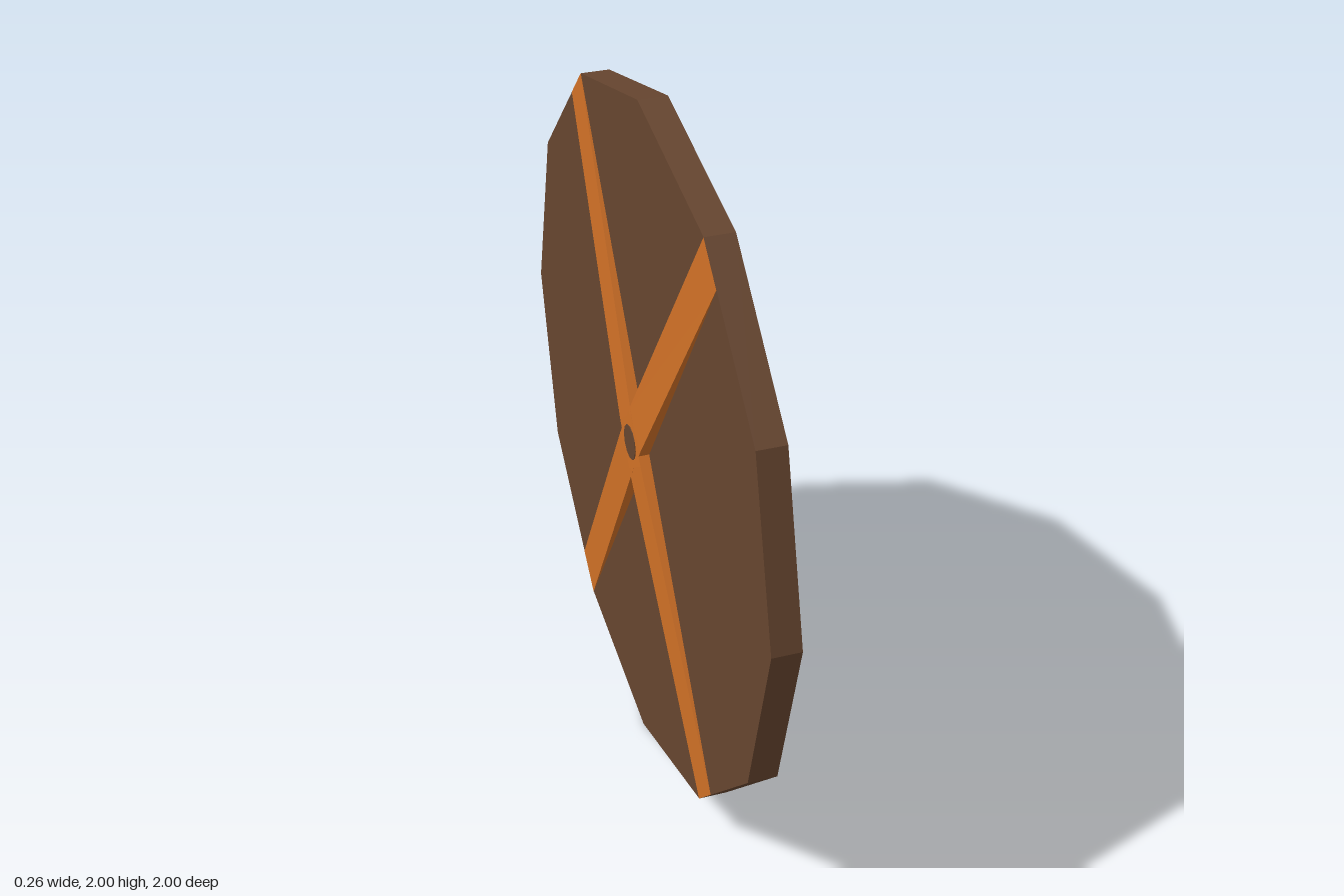
import * as THREE from 'three';

const brown = new THREE.MeshStandardMaterial({ name: 'darkWood', color: 0x66452f, flatShading: true });
const orange = new THREE.MeshStandardMaterial({ name: 'tanLeather', color: 0xcf7026, flatShading: true });

const BACK = -0.1;      // x of the flat back face
const RIDGE = 0.03;     // strap height at the centre
const HUB = 0.07;       // half length of the flat middle of a strap

// Wedge strap crossing the back: flat in the middle, tapering to nothing at the rim.
function strapGeometry() {
  // One end, in (z, y): a rim corner and a quarter of the way along the next rim edge
  const a = new THREE.Vector2(0.5, 0.866), b = new THREE.Vector2(0.592, 0.774);
  const dir = a.clone().add(b).normalize();
  const side = new THREE.Vector2(-dir.y, dir.x).multiplyScalar(0.0625);
  const at = (r, s) => dir.clone().multiplyScalar(r).addScaledVector(side, s);

  // Stations along the strap: [left, right, height]
  const stations = [
    [b.clone().negate(), a.clone().negate(), 0.0005],
    [at(-HUB, 1), at(-HUB, -1), RIDGE],
    [at(HUB, 1), at(HUB, -1), RIDGE],
    [a, b, 0.0005],
  ];
  const pos = [];
  const quad = (p, q, r, s) => [p, q, r, p, r, s].forEach((v) => pos.push(...v));
  const rings = stations.map(([l, r, h]) => [
    [BACK, l.y, l.x], [BACK - h, l.y, l.x], [BACK - h, r.y, r.x], [BACK, r.y, r.x],
  ]);
  for (let i = 0; i < 3; i++) {
    for (let k = 0; k < 3; k++) {
      quad(rings[i][k], rings[i][k + 1], rings[i + 1][k + 1], rings[i + 1][k]);
    }
  }
  const g = new THREE.BufferGeometry();
  g.setAttribute('position', new THREE.Float32BufferAttribute(pos, 3));
  g.computeVertexNormals();
  return g;
}

export function createModel() {
  const model = new THREE.Group();
  model.name = 'roundShield';
  orange.side = THREE.DoubleSide;

  const add = (name, geometry, material) => {
    const mesh = new THREE.Mesh(geometry, material);
    mesh.name = name;
    model.add(mesh);
    return mesh;
  };

  // Twelve-sided board: flat back, straight rim, shallow cone with a small flat tip
  const profile = [[0, BACK], [1, BACK], [1, -0.02], [0.065, 0.13], [0, 0.13]]
    .map(([r, h]) => new THREE.Vector2(r, h));
  const board = new THREE.LatheGeometry(profile, 12).toNonIndexed();
  board.computeVertexNormals();
  board.rotateZ(-Math.PI / 2);
  add('board', board, brown);

  // Two crossed straps on the back, mirrored across z
  const strap = strapGeometry();
  add('strap', strap, orange);
  const mirrored = add('crossStrap', strap, orange);
  mirrored.scale.z = -1;

  // Small hub where the straps cross
  const hub = new THREE.CylinderGeometry(0.05, 0.05, 0.032, 12);
  hub.rotateZ(Math.PI / 2);
  hub.translate(BACK - 0.016, 0, 0);
  add('hub', hub, brown);

  model.children.forEach((part) => { part.position.y = 1; });
  return model;
}
